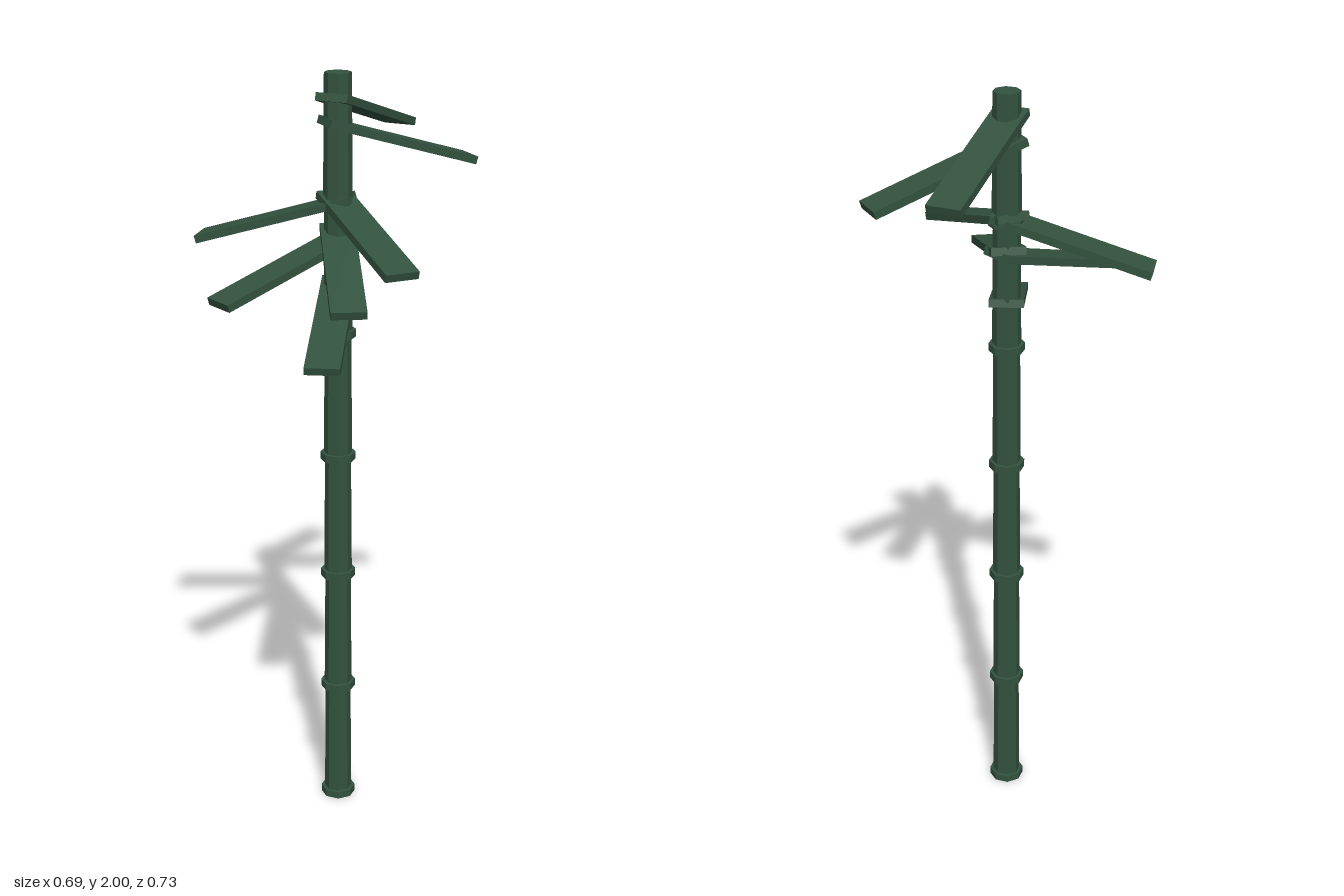
import * as THREE from 'three';

export function createModel() {
  const model = new THREE.Group();
  model.name = 'bambooStalk';
  const green = new THREE.MeshStandardMaterial({ color: 0x33523f });
  green.name = 'dark green';
  green.flatShading = true;

  // everything hangs off the stem axis
  const plant = new THREE.Group();
  plant.name = 'plant';
  plant.position.set(-0.0125, 0, -0.005);
  model.add(plant);

  const add = (name, geometry, y, parent = plant) => {
    const mesh = new THREE.Mesh(geometry, green);
    mesh.name = name;
    mesh.position.y = y;
    parent.add(mesh);
    return mesh;
  };

  // stem: six tapered octagonal segments, each with a ring at its foot
  const SEGMENTS = 6, H = 2 / SEGMENTS;
  const segment = new THREE.CylinderGeometry(0.034, 0.037, H, 8);
  const ring = new THREE.CylinderGeometry(0.046, 0.046, 0.02, 8);
  for (let i = 0; i < SEGMENTS; i++) {
    add('stemSegment' + (i + 1), segment, (i + 0.5) * H);
    add('stemRing' + (i + 1), ring, i * H + 0.01);
  }

  // leaves: flat planks passing through the stem and drooping outwards
  // [direction x, direction z, height of the middle]
  const leaves = [
    [-58.5, -179, 1.884],
    [72, -175, 1.823],
    [177.5, 66, 1.637],
    [-161.5, 97, 1.633],
    [143, 124, 1.552],
    [-25.5, 187, 1.538],
    [119, 147, 1.415],
  ];
  const plank = new THREE.BoxGeometry(0.087, 0.02, 0.414);
  leaves.forEach(([dx, dz, y], i) => {
    const pivot = new THREE.Group();
    pivot.name = 'leafPivot' + (i + 1);
    pivot.rotation.y = Math.atan2(dx, dz);
    plant.add(pivot);
    const leaf = add('leaf' + (i + 1), plank, y, pivot);
    leaf.position.z = 0.163;
    leaf.rotation.x = 0.29;
  });

  return model;
}
